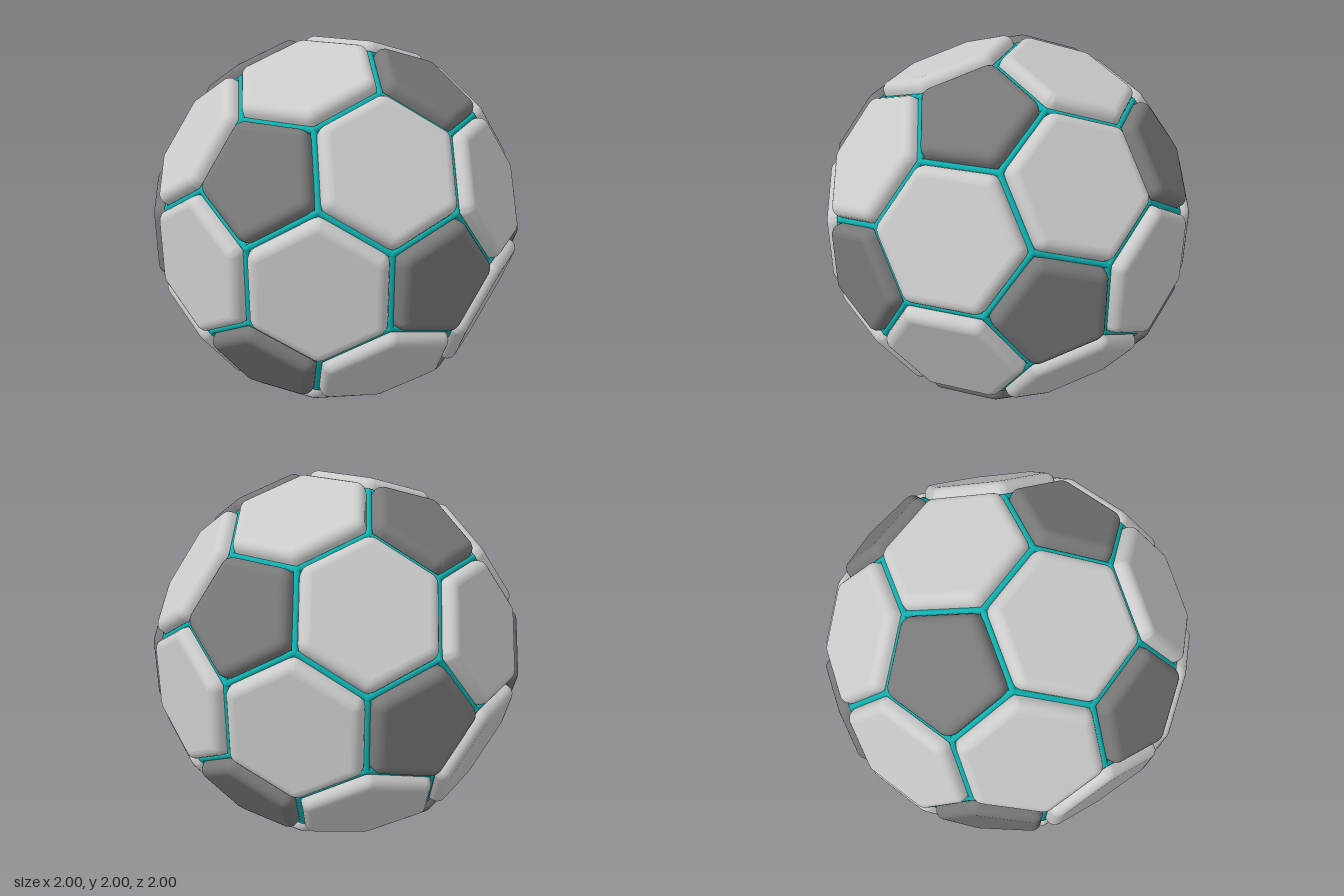
import * as THREE from 'three';
import { toCreasedNormals } from 'three/addons/utils/BufferGeometryUtils.js';

const EDGE = 0.388;   // seam length between neighbouring corners
const GAP = 0.009;    // inset of each panel from its seam
const BEVEL = 0.05;   // rounding of the panel rim
const LIFT = 0.08;    // height of a panel face above its flat polygon

// Cushion-like panel: regular polygon with rounded corners and a rounded rim,
// its flat polygon lying in z = 0 and one corner pointing along +x.
function panelGeometry(sides) {
  const half = Math.PI / sides, r = 0.015;
  const apothem = EDGE / (2 * Math.tan(half)) - GAP - BEVEL;
  const centre = (apothem - r) / Math.cos(half);
  const shape = new THREE.Shape();
  for (let i = 0; i < sides; i++) {
    const a = i * 2 * half;
    shape.absarc(centre * Math.cos(a), centre * Math.sin(a), r, a - half, a + half, false);
  }
  const wall = 0.055;
  const raw = new THREE.ExtrudeGeometry(shape, {
    depth: wall, curveSegments: 4, bevelEnabled: true,
    bevelThickness: BEVEL, bevelSize: BEVEL, bevelSegments: 5,
  });
  raw.translate(0, 0, LIFT - BEVEL - wall);
  const geo = toCreasedNormals(raw, 0.7);
  // keep the flat faces perfectly flat next to the smooth rim
  const flat = raw.getAttribute('normal'), normal = geo.getAttribute('normal');
  for (let i = 0; i < raw.groups[0].count; i++) {
    normal.setXYZ(i, 0, 0, Math.sign(flat.getZ(i)));
  }
  geo.clearGroups();
  return geo;
}

export function createModel() {
  const model = new THREE.Group();
  model.name = 'panelledBall';
  const ball = new THREE.Group();
  ball.name = 'ball';
  ball.position.y = 1;
  model.add(ball);

  const lightMat = new THREE.MeshStandardMaterial({ color: 0xcccccc });
  const darkMat = new THREE.MeshStandardMaterial({ color: 0x787878 });
  const seamMat = new THREE.MeshStandardMaterial({ color: 0x10b0b0 });

  // Icosahedron corners, scaled so that cutting each edge in thirds gives EDGE
  const phi = (1 + Math.sqrt(5)) / 2, s = EDGE * 1.5;
  const tips = [];
  for (const a of [-1, 1]) for (const b of [-phi, phi]) {
    tips.push(new THREE.Vector3(0, a, b), new THREE.Vector3(a, b, 0), new THREE.Vector3(b, 0, a));
  }
  tips.forEach(t => t.multiplyScalar(s));
  const near = (p, q) => p !== q && p.distanceTo(q) < 2.1 * s;
  const third = (p, q) => p.clone().lerp(q, 1 / 3);

  // Place a panel at its centre, turned so its first corner meets the given point
  function addPanel(name, geo, mat, centre, corner) {
    const z = centre.clone().normalize();
    const x = corner.clone().sub(centre).normalize();
    const y = z.clone().cross(x);
    const mesh = new THREE.Mesh(geo, mat);
    mesh.name = name;
    mesh.quaternion.setFromRotationMatrix(new THREE.Matrix4().makeBasis(x, y, z));
    mesh.position.copy(centre);
    ball.add(mesh);
  }

  // Dark pentagons, one over each icosahedron corner
  const pentGeo = panelGeometry(5), corners = [];
  for (const p of tips) {
    const ring = tips.filter(q => near(p, q)).map(q => third(p, q));
    const centre = new THREE.Vector3();
    ring.forEach(c => centre.addScaledVector(c, 1 / 5));
    corners.push(...ring);
    addPanel('pentagonPanel', pentGeo, darkMat, centre, ring[0]);
  }

  // Light hexagons, one over each icosahedron face
  const hexGeo = panelGeometry(6);
  tips.forEach((a, i) => tips.forEach((b, j) => tips.forEach((c, k) => {
    if (i < j && j < k && near(a, b) && near(b, c) && near(a, c)) {
      const centre = a.clone().add(b).add(c).divideScalar(3);
      addPanel('hexagonPanel', hexGeo, lightMat, centre, third(a, b));
    }
  })));

  // Thin seam frame: a rod along every edge and a bead at every corner
  const frame = new THREE.Group();
  frame.name = 'seamFrame';
  ball.add(frame);
  const rodGeo = new THREE.CylinderGeometry(0.017, 0.017, EDGE, 10, 1, true);
  const beadGeo = new THREE.SphereGeometry(0.018, 12, 8);
  const up = new THREE.Vector3(0, 1, 0);
  corners.forEach((p, i) => {
    const bead = new THREE.Mesh(beadGeo, seamMat);
    bead.name = 'seamJoint';
    bead.position.copy(p);
    frame.add(bead);
    for (const q of corners.slice(i + 1)) {
      if (p.distanceTo(q) > EDGE * 1.05) continue;
      const rod = new THREE.Mesh(rodGeo, seamMat);
      rod.name = 'seamRod';
      rod.position.copy(p).lerp(q, 0.5);
      rod.quaternion.setFromUnitVectors(up, q.clone().sub(p).normalize());
      frame.add(rod);
    }
  });

  return model;
}
